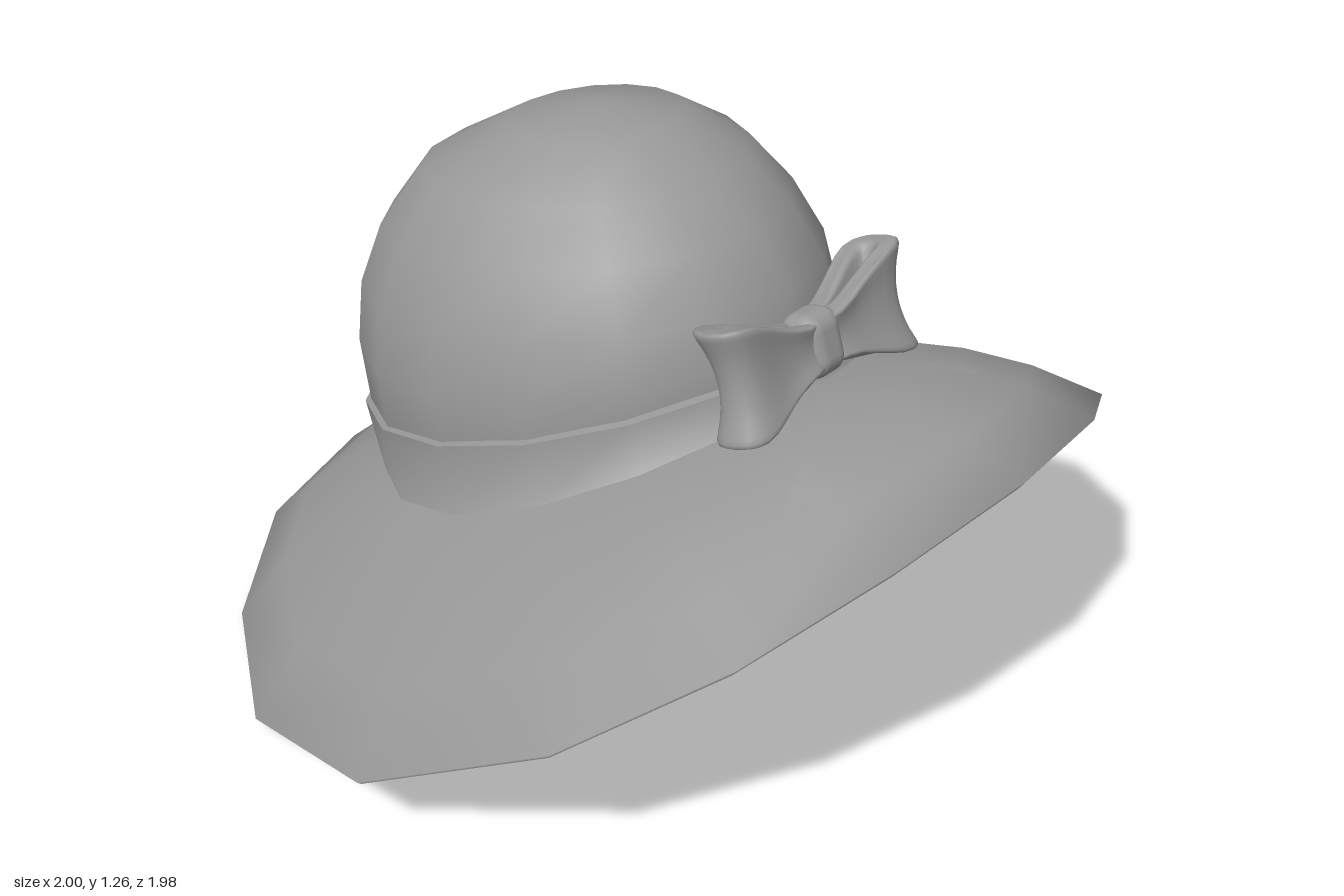
import * as THREE from 'three';
import { RoundedBoxGeometry } from 'three/addons/geometries/RoundedBoxGeometry.js';
import { mergeVertices } from 'three/addons/utils/BufferGeometryUtils.js';

const N = 16;
const V = (x, y, z) => new THREE.Vector3(x, y, z);

// Surface from cross-section rows; wrapped rows close into rings
function loft(rows, wrap = true) {
  const n = rows[0].length, pos = [], idx = [];
  rows.forEach(r => r.forEach(p => pos.push(p.x, p.y, p.z)));
  for (let r = 0; r + 1 < rows.length; r++) {
    for (let i = 0; i < (wrap ? n : n - 1); i++) {
      const a = r * n + i, b = r * n + (i + 1) % n;
      idx.push(a, b, b + n, a, b + n, a + n);
    }
  }
  const g = new THREE.BufferGeometry();
  g.setAttribute('position', new THREE.Float32BufferAttribute(pos, 3));
  g.setIndex(idx);
  const welded = mergeVertices(g);
  welded.computeVertexNormals();
  return welded;
}
const ring = f => Array.from({ length: N }, (_, i) => f(i));

function add(parent, name, geometry, side = THREE.FrontSide) {
  const m = new THREE.Mesh(geometry, new THREE.MeshStandardMaterial({ color: 0x999999, side }));
  m.name = name;
  parent.add(m);
  return m;
}

// Tilted ellipse given its front and back points (z, y), half width and sideways sag
const ellipse = ([fz, fy, bz, by, w, sag = 0]) => ring(i => {
  const a = i / N * Math.PI * 2, c = Math.cos(a), s = Math.sin(a);
  return V(w * s, (fy + by) / 2 + (fy - by) / 2 * c + sag * s * s, (fz + bz) / 2 + (fz - bz) / 2 * c);
});

// Half of the brim's rim, front to back
const RIM = [
  [0, 0.79, 0.99], [0.345, 0.745, 0.94], [0.64, 0.62, 0.805], [0.88, 0.445, 0.57], [1, 0.217, 0.16],
  [0.89, 0.045, -0.31], [0.65, 0.018, -0.66], [0.345, 0.043, -0.9], [0, 0.07, -0.99],
].map(p => V(...p));

// Point on the brim: k runs round in 16ths (negative mirrors), t from crown to rim
function brim(k, t, drop = 0) {
  if (k > N / 2) k -= N;
  const m = Math.abs(k), j = Math.min(Math.floor(m), 7), a = m / N * Math.PI * 2;
  const outer = RIM[j].clone().lerp(RIM[j + 1], m - j);
  const z = -0.06 + 0.54 * Math.cos(a), d = z - 0.03;
  const p = V(0.5 * Math.sin(a), 0.54 + 0.447 * d + 0.242 * d * d, z).lerp(outer, t);
  p.y += (0.035 + 0.015 * Math.cos(a)) * 4 * t * (1 - t) - drop;
  if (k < 0) p.x *= -1;
  return p;
}
const brimRing = (t, drop) => ring(i => brim(i, t, drop));

// Brim top, its shading rounded outward at the rim (the second ring)
function brimTopGeometry() {
  const g = loft([brimRing(0.97, 0.03), ...[1, 0.72, 0.45, 0.2, 0].map(t => brimRing(t, 0))]);
  const p = g.attributes.position, n = g.attributes.normal;
  for (let i = 0; i < 2 * N; i++) {
    const out = V(p.getX(i), 0, p.getZ(i)).normalize();
    const v = V(n.getX(i), n.getY(i), n.getZ(i)).lerp(out, 0.45).normalize();
    n.setXYZ(i, v.x, v.y, v.z);
  }
  return g;
}

// One bow loop: hollow plan outline extruded upward, flared and pinched
function loopGeometry() {
  const outline = pts => new THREE.SplineCurve(pts.map(p => new THREE.Vector2(...p))).getPoints(24);
  const shape = new THREE.Shape(outline([[0.02, -0.03], [0.12, -0.045], [0.22, -0.058], [0.265, -0.035],
    [0.268, 0.015], [0.235, 0.045], [0.13, 0.036], [0.02, 0.03], [0.02, -0.03]]).slice(0, -1));
  shape.holes.push(new THREE.Path(outline([[0.05, -0.012], [0.13, -0.024], [0.215, -0.036], [0.24, -0.02],
    [0.242, 0.006], [0.215, 0.022], [0.13, 0.014], [0.05, 0.006], [0.05, -0.012]]).slice(0, -1)));
  const extruded = new THREE.ExtrudeGeometry(shape, {
    depth: 0.84, steps: 8, bevelEnabled: true, bevelThickness: 0.08, bevelSize: 0.01, bevelSegments: 3,
  });
  extruded.translate(0, 0, -0.42);
  extruded.rotateX(Math.PI / 2);
  extruded.deleteAttribute('uv');
  extruded.deleteAttribute('normal');
  const g = mergeVertices(extruded);
  const p = g.attributes.position;
  for (let i = 0; i < p.count; i++) {
    const x = p.getX(i), v = p.getY(i);
    const h = 0.1 + 0.14 * THREE.MathUtils.smoothstep(x, 0.03, 0.25);
    p.setXYZ(i, x * (0.95 + 0.42 * v * v), v * h + 0.03 * x, p.getZ(i) * (0.8 + 1.3 * v * v));
  }
  g.computeVertexNormals();
  return g;
}

export function createModel() {
  const hat = new THREE.Group();
  hat.name = 'sunHat';

  // Crown, open below
  add(hat, 'crown', loft([
    brimRing(-0.06, 0.015),
    ...[
      [0.45, 0.83, -0.65, 0.51, 0.495, -0.03],
      [0.44, 0.89, -0.675, 0.665, 0.497, -0.02],
      [0.41, 0.985, -0.668, 0.8, 0.472],
      [0.33, 1.1, -0.62, 0.935, 0.415],
      [0.22, 1.19, -0.51, 1.085, 0.335],
      [0.08, 1.25, -0.3, 1.21, 0.195],
      [-0.1, 1.265, -0.1, 1.265, 0],
    ].map(ellipse),
  ]), THREE.DoubleSide);

  // Band round the crown: wall with its foot tucked under the brim, and a narrow top lip
  const bandTop = ellipse([0.465, 0.865, -0.66, 0.5, 0.511, -0.03]);
  const bandInner = ellipse([0.43, 0.865, -0.64, 0.505, 0.485, -0.03]);
  const band = new THREE.Group();
  band.name = 'band';
  hat.add(band);
  add(band, 'bandWall', loft([brimRing(0.2, 0.015), brimRing(0.02, 0.003), bandTop]));
  add(band, 'bandLip', loft([bandTop, bandInner]));

  // Brim: top with its rim edge, and underside
  const brimGroup = new THREE.Group();
  brimGroup.name = 'brim';
  hat.add(brimGroup);
  add(brimGroup, 'brimTop', brimTopGeometry());
  add(brimGroup, 'brimUnderside', loft([
    brimRing(-0.06, 0.015), ...[0.2, 0.45, 0.72, 0.97].map(t => brimRing(t, 0.03)),
  ]));

  // Bow, leaning back against the crown
  const bow = new THREE.Group();
  bow.name = 'bow';
  bow.position.set(0, 0.9, 0.478);
  bow.rotation.x = -0.3;
  hat.add(bow);
  const loop = loopGeometry();
  add(bow, 'leftLoop', loop);
  add(bow, 'rightLoop', loop).scale.x = -1;
  const knot = new RoundedBoxGeometry(0.115, 0.14, 0.1, 5, 0.04);
  const kp = knot.attributes.position;
  for (let i = 0; i < kp.count; i++) {
    kp.setX(i, kp.getX(i) * (0.88 + 35 * kp.getY(i) ** 2));
  }
  add(bow, 'knot', knot);

  // Ribbon tails lying on the brim, each with a notched end
  for (const s of [1, -1]) {
    const rows = [];
    for (let i = 0; i <= 8; i++) {
      const u = i / 8;
      rows.push([-1, 0, 1].map(w => {
        const e = u + (i === 8 ? 0.12 * Math.abs(w) : 0);
        const width = 0.6 + 0.5 * u;
        return brim(s * (0.2 + 1.0 * e - 0.09 * w * width), 0.08 + 0.54 * e + 0.055 * w * width, -0.008);
      }));
    }
    add(hat, s > 0 ? 'leftTail' : 'rightTail', loft(rows, false), THREE.DoubleSide);
  }
  return hat;
}
